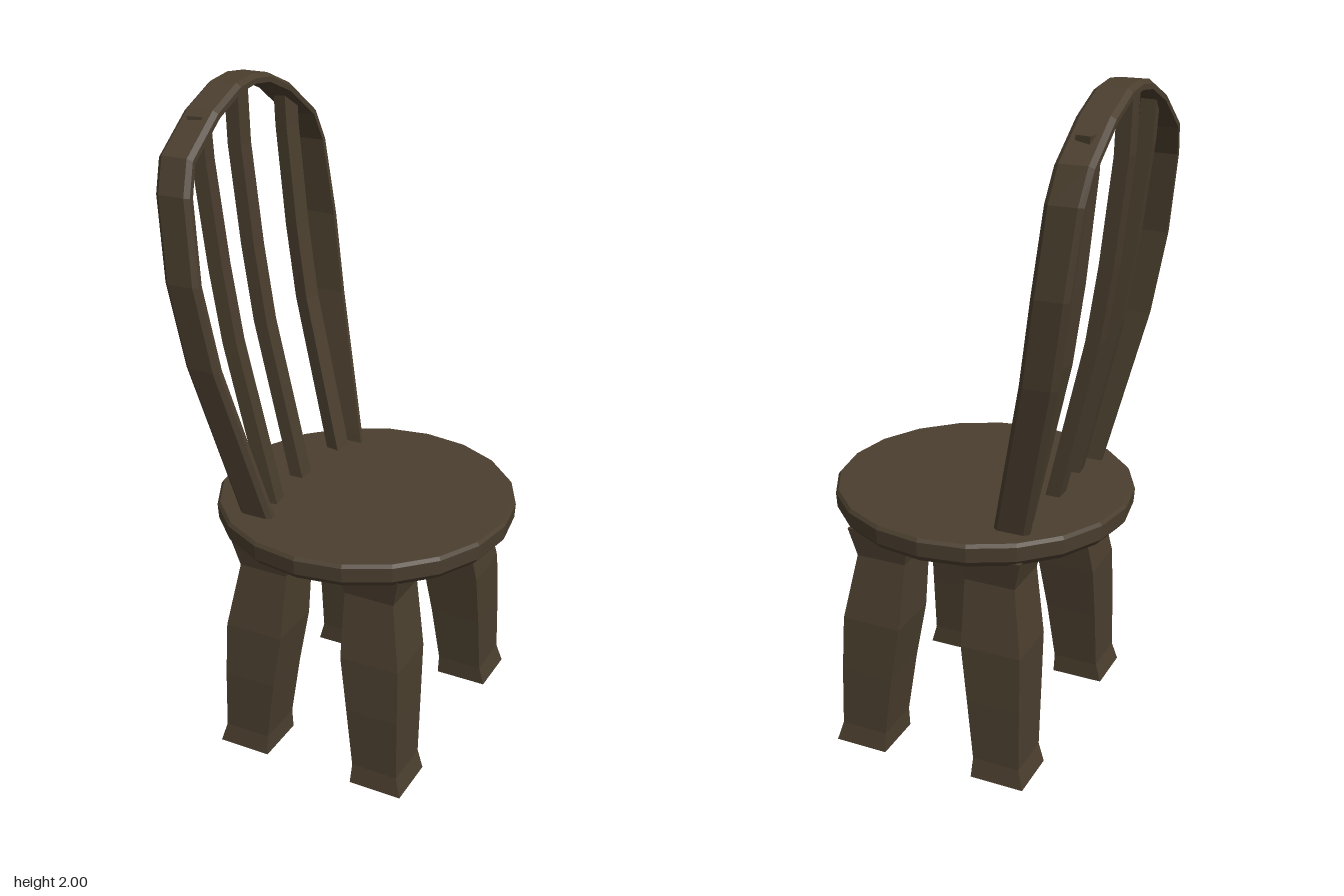
import * as THREE from 'three';

const wood = new THREE.MeshStandardMaterial({ color: 0x4a3e2e, flatShading: true });

// Solid skin over a series of rings, each ordered counter-clockwise about the direction of travel
function loft(rings) {
  const n = rings[0].length, last = (rings.length - 1) * n, index = [];
  for (let i = 0; i < rings.length - 1; i++) {
    for (let j = 0; j < n; j++) {
      const a = i * n + j, b = i * n + (j + 1) % n;
      index.push(a, b, b + n, a, b + n, a + n);
    }
  }
  for (let j = 1; j < n - 1; j++) {
    index.push(0, j + 1, j, last, last + j, last + j + 1);
  }
  const geo = new THREE.BufferGeometry();
  geo.setAttribute('position', new THREE.Float32BufferAttribute(rings.flat(2), 3));
  geo.setIndex(index);
  geo.computeVertexNormals();
  return geo;
}

// Horizontal rectangle at height y, optionally turned about its centre
function rect(x, y, z, hx, hz, yaw = 0) {
  const c = Math.cos(yaw), s = Math.sin(yaw);
  return [[hx, hz], [hx, -hz], [-hx, -hz], [-hx, hz]]
    .map(([u, v]) => [x + u * c + v * s, y, z - u * s + v * c]);
}

// Backward lean of the backrest: [height, x]
const lean = [[0.74, -0.213], [0.775, -0.22], [1.27, -0.333], [1.5, -0.367], [1.85, -0.405], [2.01, -0.405]];
function leanX(y) {
  for (let i = 1; i < lean.length; i++) {
    const [y0, x0] = lean[i - 1], [y1, x1] = lean[i];
    if (y <= y1) return x0 + (x1 - x0) * (y - y0) / (y1 - y0);
  }
  return -0.405;
}

export function createModel() {
  const chair = new THREE.Group();
  chair.name = 'chair';
  const add = (name, geo) => {
    const mesh = new THREE.Mesh(geo, wood);
    mesh.name = name;
    chair.add(mesh);
  };

  // Round seat with softened rim
  const rim = [[0, 0.7], [0.435, 0.7], [0.452, 0.72], [0.455, 0.765], [0.447, 0.775], [0, 0.775]];
  add('seat', new THREE.LatheGeometry(rim.map(p => new THREE.Vector2(...p)), 20));

  // Four splayed legs: [height, centre x, centre z, half width x, half width z]
  const leg = [
    [0, 0.227, 0.322, 0.083, 0.082],
    [0.06, 0.22, 0.317, 0.073, 0.076],
    [0.25, 0.208, 0.305, 0.083, 0.083],
    [0.42, 0.194, 0.289, 0.093, 0.088],
    [0.62, 0.175, 0.26, 0.078, 0.08],
    [0.71, 0.175, 0.255, 0.1, 0.1],
  ];
  for (const sx of [1, -1]) {
    for (const sz of [1, -1]) {
      const name = (sx > 0 ? 'front' : 'rear') + (sz > 0 ? 'LegA' : 'LegB');
      add(name, loft(leg.map(([y, x, z, hx, hz]) => rect(sx * x, y, sz * z - 0.008, hx, hz))));
    }
  }

  // Bent hoop: centreline half [z, y], mirrored over the top
  const half = [[0.285, 0.74], [0.295, 0.8], [0.372, 1.25], [0.393, 1.5], [0.374, 1.74], [0.337, 1.83],
    [0.2, 1.928], [0.08, 1.978]];
  const path = [...half, [0, 1.987], ...half.map(([z, y]) => [-z, y]).reverse()];
  const section = [[0.013, -0.04], [0.013, 0.04], [0.002, 0.054], [-0.013, 0.054], [-0.013, -0.054], [0.002, -0.054]];
  add('backHoop', loft(path.map(([z, y], i) => {
    const p = path[Math.max(i - 1, 0)], q = path[Math.min(i + 1, path.length - 1)];
    const len = Math.hypot(q[0] - p[0], q[1] - p[1]);
    const nz = (q[1] - p[1]) / len, ny = -(q[0] - p[0]) / len;
    return section.map(([n, u]) => [leanX(y) + u, y + n * ny, z + n * nz - 0.007]);
  })));

  // Three upright slats: [name, z at seat, z at top, top height, yaw]
  const slats = [
    ['slatA', 0.177, 0.205, 1.925, 0.13],
    ['slatMiddle', -0.008, -0.008, 1.985, 0],
    ['slatB', -0.232, -0.265, 1.9, -0.2],
  ];
  for (const [name, z0, z1, top, yaw] of slats) {
    const heights = [0.74, 1.27, 1.5, 1.8, top];
    add(name, loft(heights.map(y => {
      const t = (y - 0.74) / (top - 0.74);
      return rect(leanX(y) - 0.015 + (yaw ? 0.012 : 0), y, z0 + (z1 - z0) * t, 0.022, 0.028, yaw);
    })));
  }
  return chair;
}
